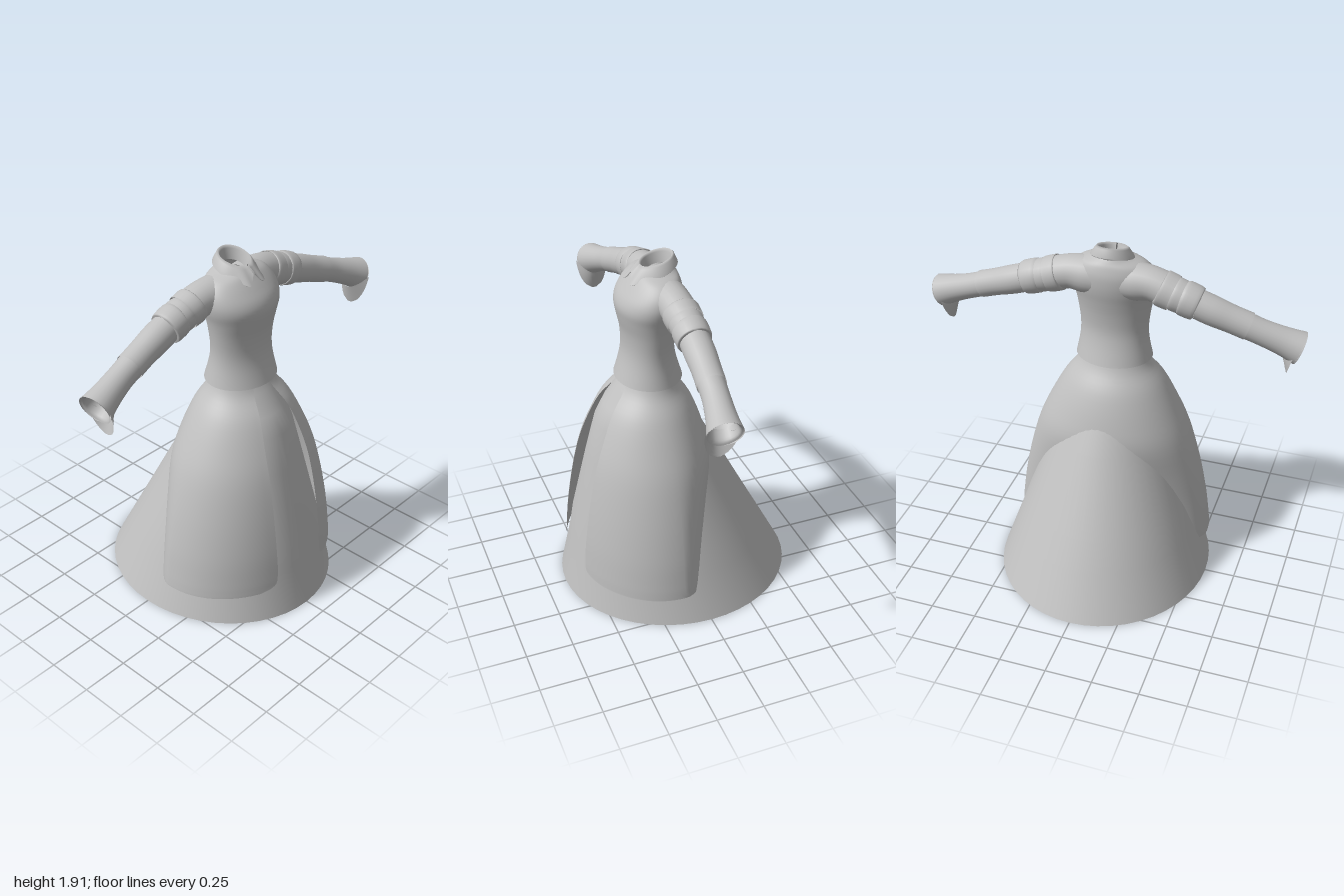
import * as THREE from 'three';

const fabric = new THREE.MeshStandardMaterial({ color: 0xc0c0c0, side: THREE.DoubleSide });
fabric.name = 'plain grey fabric';

// Skin a list of point rows into one smooth sheet or closed tube
function loft(name, rows, closed = true) {
  const n = rows[0].length, index = [];
  for (let i = 0; i < rows.length - 1; i++) {
    for (let j = 0; j < (closed ? n : n - 1); j++) {
      const k = (j + 1) % n, a = i * n + j, b = a + n, c = (i + 1) * n + k, d = i * n + k;
      index.push(a, b, c, a, c, d);
    }
  }
  const geo = new THREE.BufferGeometry();
  geo.setAttribute('position', new THREE.Float32BufferAttribute(rows.flat(2), 3));
  geo.setIndex(index);
  geo.computeVertexNormals();
  const mesh = new THREE.Mesh(geo, fabric);
  mesh.name = name;
  return mesh;
}

// Resample rows of numbers with a smooth curve through them
function smooth(rows, steps) {
  const out = [], at = (i) => rows[Math.min(Math.max(i, 0), rows.length - 1)];
  for (let i = 0; i < rows.length - 1; i++) {
    for (let s = 0; s < steps; s++) {
      const t = s / steps;
      out.push(rows[i].map((p, c) => {
        const q = at(i + 1)[c], m0 = (q - at(i - 1)[c]) / 2, m1 = (at(i + 2)[c] - p) / 2;
        return p + m0 * t + (3 * (q - p) - 2 * m0 - m1) * t * t + (2 * (p - q) + m0 + m1) * t * t * t;
      }));
    }
  }
  out.push(rows[rows.length - 1]);
  return out;
}

// Horizontal oval row, angle 0 at the front and turning towards +x; widest at depth zc
function ring([y, xr, front, back, zc = (front + back) / 2], n = 40, from = 0, to = Math.PI * 2, closed = true) {
  return Array.from({ length: n }, (_, j) => {
    const a = from + (to - from) * j / (closed ? n : n - 1), c = Math.cos(a);
    return [xr * Math.sin(a), y, zc + c * (c > 0 ? front - zc : zc - back)];
  });
}

// Tube along [x, y, z, radius] stations, cut square to its path
function sleevePart(name, stations) {
  const st = smooth(stations, 4);
  return loft(name, st.map(([x, y, z, r], i) => {
    const p = st[Math.max(i - 1, 0)], q = st[Math.min(i + 1, st.length - 1)];
    const t = new THREE.Vector3(q[0] - p[0], q[1] - p[1], q[2] - p[2]).normalize();
    const v = new THREE.Vector3(0, 1, 0).cross(t).normalize();
    const u = t.clone().cross(v);
    return Array.from({ length: 24 }, (_, j) => {
      const a = j / 24 * Math.PI * 2, c = Math.cos(a) * r, s = Math.sin(a) * r;
      return [x + u.x * c + v.x * s, y + u.y * c + v.y * s, z + u.z * c + v.z * s];
    });
  }));
}

function createSleeve() {
  const sleeve = new THREE.Group();
  sleeve.add(
    sleevePart('shoulder', [[0.05, 1.715, 0.08, 0.1], [0.13, 1.72, 0.073, 0.1], [0.22, 1.722, 0.066, 0.088], [0.33, 1.69, 0.06, 0.088]]),
    sleevePart('upperBand', [[0.26, 1.713, 0.062, 0.08], [0.27, 1.709, 0.062, 0.094], [0.33, 1.69, 0.06, 0.092]]),
    sleevePart('middleBand', [[0.32, 1.693, 0.06, 0.08], [0.34, 1.687, 0.06, 0.087], [0.39, 1.672, 0.06, 0.084]]),
    sleevePart('lowerBand', [[0.375, 1.677, 0.06, 0.08], [0.385, 1.674, 0.06, 0.09], [0.45, 1.652, 0.062, 0.087], [0.452, 1.651, 0.062, 0.07]]),
    sleevePart('upperArm', [[0.4, 1.67, 0.06, 0.074], [0.52, 1.627, 0.065, 0.076], [0.62, 1.592, 0.073, 0.071], [0.71, 1.56, 0.083, 0.071]]),
    sleevePart('forearm', [[0.69, 1.567, 0.08, 0.067], [0.78, 1.533, 0.09, 0.066], [0.88, 1.495, 0.107, 0.073], [0.965, 1.461, 0.122, 0.087]]),
    sleevePart('cuffLining', [[0.965, 1.461, 0.122, 0.087], [0.95, 1.467, 0.12, 0.07], [0.9, 1.487, 0.111, 0.06]]),
  );
  // Rounded tongue curling below the cuff
  const rows = [];
  for (let i = 0; i <= 8; i++) {
    const t = i / 8, w = 0.088 * Math.sqrt(1 - t * t * 0.98);
    rows.push(Array.from({ length: 13 }, (_, j) => {
      const s = j / 6 - 1, curl = s * s * (1 - t);
      return [0.88 + 0.03 * t + 0.075 * curl, 1.41 - 0.103 * t + 0.06 * curl, 0.128 - w * s];
    }));
  }
  sleeve.add(loft('cuffTongue', rows, false));
  return sleeve;
}

export function createModel() {
  const model = new THREE.Group();

  // Underskirt: rounded below the waist, then straight and leaning back towards the hem
  model.add(loft('underskirt', [
    [1.27, 0.16, 0.262, 0.015], [1.2, 0.175, 0.297, 0], [1.1, 0.21, 0.375, -0.05], [1, 0.245, 0.425, -0.108],
    [0.8, 0.312, 0.474, -0.215], [0.4, 0.452, 0.562, -0.425], [0.25, 0.5, 0.585, -0.505], [0, 0.585, 0.637, -0.637],
  ].map((r) => ring(r, 48))));

  // Petticoat inside the skirts
  model.add(loft('petticoat', [[1.2, 0.15, 0.28, 0.01], [0.6, 0.3, 0.43, -0.16], [0.015, 0.43, 0.55, -0.31]].map((r) => ring(r))));

  // Trouser legs inside the petticoat, with turned-in hems
  for (const side of [-1, 1]) {
    const rows = [[1.15, 0.07, 0.22, 0.06], [0.6, 0.08, 0.2, 0.04], [0.12, 0.075, 0.185, 0.035], [0.12, 0.045, 0.155, 0.065], [0.2, 0.045, 0.155, 0.065]];
    const leg = loft(side > 0 ? 'leftLeg' : 'rightLeg', rows.map((r) => ring(r, 24)));
    leg.position.x = side * 0.1;
    model.add(leg);
  }

  // Domed overskirt, open at the front: y, half width, front, back, widest depth, half gap
  const over = smooth([
    [1.27, 0.17, 0.27, 0.01, 0.14, 0.05], [1.2, 0.2, 0.305, -0.02, 0.14, 0.07], [1.1, 0.275, 0.39, -0.085, 0.145, 0.108],
    [0.95, 0.355, 0.462, -0.14, 0.14, 0.14], [0.8, 0.42, 0.512, -0.168, 0.14, 0.156], [0.6, 0.478, 0.552, -0.14, 0.14, 0.166],
    [0.4, 0.521, 0.58, -0.11, 0.14, 0.17], [0.25, 0.543, 0.592, -0.1, 0.14, 0.172], [0.19, 0.55, 0.595, -0.095, 0.14, 0.192],
    [0.167, 0.552, 0.596, -0.09, 0.14, 0.27],
  ], 4);
  model.add(loft('overskirt', over.map((r) => {
    const a = Math.asin(r[5] / r[1]);
    return ring(r.slice(0, 5), 64, a, Math.PI * 2 - a, false);
  }), false));

  // Fitted bodice with a flared hem
  const bodice = smooth([
    [1.845, 0.08, 0.165, 0.005], [1.83, 0.11, 0.19, -0.005], [1.805, 0.175, 0.212, -0.018], [1.76, 0.215, 0.248, -0.03],
    [1.71, 0.227, 0.282, -0.031], [1.66, 0.222, 0.296, -0.025], [1.6, 0.205, 0.288, -0.012], [1.52, 0.19, 0.272, 0.002],
    [1.43, 0.18, 0.268, 0.008], [1.35, 0.184, 0.28, -0.005], [1.25, 0.203, 0.31, -0.035],
  ], 4);
  model.add(loft('bodice', bodice.map((r) => ring(r, 48))));

  // Folded collar, higher at the back, with a notch and two points in front; last value is the fold weight
  const folds = [
    [1.82, 0.06, 0.15, 0.02, 0], [1.875, 0.068, 0.16, 0.013, 0], [1.888, 0.075, 0.172, 0.005, 0],
    [1.878, 0.085, 0.186, -0.004, 0.1], [1.835, 0.113, 0.212, -0.02, 1], [1.83, 0.108, 0.207, -0.016, 1],
  ];
  model.add(loft('collar', folds.map((r) => ring(r.slice(0, 4), 65, 0.05, Math.PI * 2 - 0.05, false).map(([x, y, z], j) => {
    const a = 0.05 + (Math.PI * 2 - 0.1) * j / 64, side = Math.min(a, Math.PI * 2 - a);
    const point = r[4] * Math.exp(-(((side - 0.48) / 0.32) ** 2));
    const notch = r[4] * Math.exp(-((side / 0.2) ** 2));
    return [x, y - (z - 0.085) * 0.28 - 0.018 * point + 0.035 * notch, z + 0.04 * point];
  })), false));

  // Sleeves, mirrored
  const left = createSleeve(), right = createSleeve();
  left.name = 'leftSleeve';
  right.name = 'rightSleeve';
  right.scale.x = -1;
  model.add(left, right);
  return model;
}
